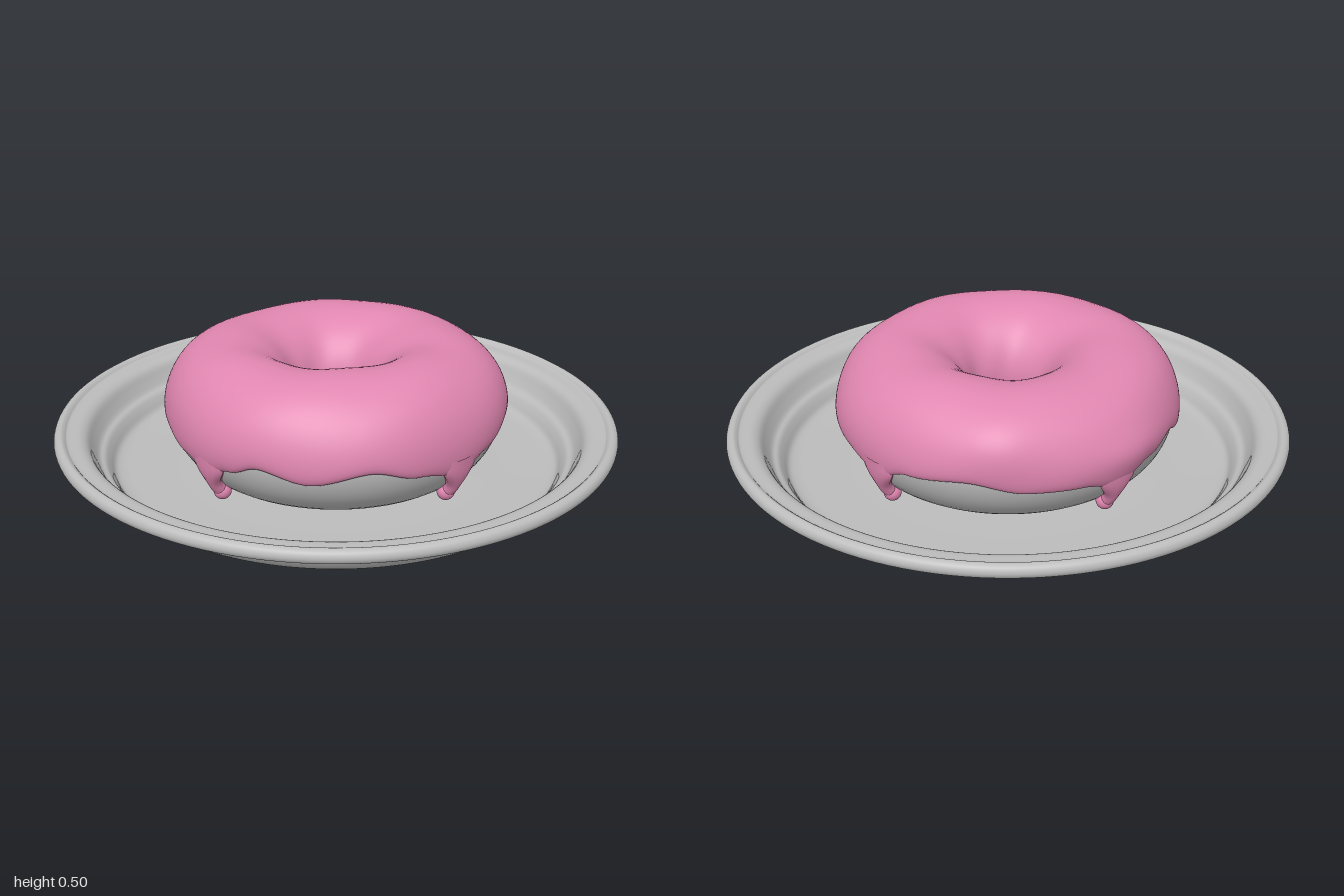
import * as THREE from 'three';

const R = 0.37, A = 0.22, B = 0.22, CY = 0.25; // dough ring radius, section radii, centre height
const RAD = Math.PI / 180;

// Lower icing edge: angle around the ring (0 = front, 90 = left side), height
const EDGE = [[-70, 0.215], [-56, 0.245], [-42, 0.2], [-20, 0.215], [-6, 0.185], [8, 0.165], [18, 0.195],
  [29, 0.235], [46, 0.2], [66, 0.24], [82, 0.2], [99, 0.165], [112, 0.2], [132, 0.24], [156, 0.21],
  [172, 0.2], [190, 0.165], [204, 0.215], [225, 0.235], [245, 0.2], [262, 0.195], [276, 0.165], [290, 0.215]];

function edgeHeight(deg) {
  if (deg > 290) deg -= 360;
  let i = 0;
  while (i < EDGE.length - 2 && deg > EDGE[i + 1][0]) i++;
  const [a0, h0] = EDGE[i], [a1, h1] = EDGE[i + 1];
  return h0 + (h1 - h0) * THREE.MathUtils.smoothstep(deg, a0, a1);
}

// Surface swept around y; section(theta, v) returns [radius, height]
function ringSurface(section, nu, nv) {
  const pos = [], index = [];
  for (let i = 0; i < nu; i++) {
    const t = (i / nu) * Math.PI * 2;
    for (let j = 0; j <= nv; j++) {
      const [r, y] = section(t, j / nv);
      pos.push(r * Math.sin(t), y, r * Math.cos(t));
    }
  }
  for (let i = 0; i < nu; i++) {
    for (let j = 0; j < nv; j++) {
      const a = i * (nv + 1) + j, b = ((i + 1) % nu) * (nv + 1) + j;
      index.push(a, a + 1, b, b, a + 1, b + 1);
    }
  }
  const g = new THREE.BufferGeometry();
  g.setAttribute('position', new THREE.Float32BufferAttribute(pos, 3));
  g.setIndex(index);
  g.computeVertexNormals();
  return g;
}

// Soft bump around one place on the icing
function bump(t, phi, t0, phi0, wt, wp) {
  const d = Math.atan2(Math.sin(t - t0 * RAD), Math.cos(t - t0 * RAD)) / (wt * RAD);
  const e = (phi - phi0 * RAD) / (wp * RAD);
  return Math.exp(-d * d - e * e);
}

function icingSection(t, v) {
  const start = (196 + 5 * Math.sin(3 * t + 1)) * RAD;
  const end = Math.asin((edgeHeight(t / RAD) - CY) / B);
  // samples crowd towards both edges so that the lips are round
  const s = 0.5 - 0.5 * Math.cos(Math.PI * v);
  const phi = start + (end - start) * s;
  const q = Math.abs(2 * s - 1);
  let thick = 0.021 * Math.sqrt(Math.max(0, 1 - q ** 24));
  const body = 1 - q ** 12;
  thick += body * (0.003 * Math.sin(3 * t + 2 * phi) + 0.002 * Math.sin(7 * t - 3 * phi));
  thick += body * (0.014 * bump(t, phi, 282, 8, 14, 14) + 0.014 * bump(t, phi, 235, 30, 12, 25)
    + 0.008 * bump(t, phi, 318, 50, 18, 22));
  const tilt = 0.01 * Math.sin(t + 0.6) * Math.max(0, Math.sin(phi));
  return [R + (A + thick) * Math.cos(phi), CY + (B + thick) * Math.sin(phi) + tilt];
}

export function createModel() {
  const model = new THREE.Group();
  const grey = new THREE.MeshStandardMaterial({ color: 0xbcbcbc });
  grey.name = 'grey';
  const pink = new THREE.MeshStandardMaterial({ color: 0xe086b0 });
  pink.name = 'pink';
  const add = (name, geometry, material, parent = model) => {
    const mesh = new THREE.Mesh(geometry, material);
    mesh.name = name;
    parent.add(mesh);
    return mesh;
  };

  // Plate: underside, rolled rim, stepped inner wall, floor
  const outline = [[0, 0], [0.4, 0], [0.72, 0], [0.775, 0.004], [0.815, 0.03], [0.85, 0.085], [0.88, 0.13],
    [0.9, 0.138], [0.97, 0.138], [0.993, 0.146], [1, 0.163], [0.993, 0.182], [0.975, 0.19], [0.963, 0.184],
    [0.955, 0.177], [0.91, 0.174], [0.885, 0.16], [0.865, 0.125], [0.845, 0.095], [0.825, 0.086],
    [0.808, 0.065], [0.79, 0.038], [0.76, 0.028], [0.7, 0.026], [0.35, 0.026], [0, 0.026]];
  const curve = new THREE.CatmullRomCurve3(outline.map(([x, y]) => new THREE.Vector3(x, y, 0)));
  const profile = curve.getPoints(100).map((p) => new THREE.Vector2(Math.max(0, p.x), Math.max(0, p.y)));
  add('plate', new THREE.LatheGeometry(profile, 128), grey);

  // Dough ring
  add('dough', ringSurface((t, v) => {
    const phi = Math.PI * (1 - 2 * v);
    return [R + A * Math.cos(phi), CY + B * Math.sin(phi)];
  }, 96, 48), grey);

  // Icing with a wavy lower edge
  add('icing', ringSurface(icingSection, 240, 56), pink);

  // Drips hanging from the icing
  [[8, 0.062], [99, 0.066], [190, 0.062], [276, 0.066]].forEach(([deg, tip]) => {
    const drip = new THREE.Group();
    drip.name = 'drip';
    const path = new THREE.CatmullRomCurve3([
      new THREE.Vector3(0, 0.23, 0.588), new THREE.Vector3(0, 0.16, 0.58),
      new THREE.Vector3(0, 0.11, 0.558), new THREE.Vector3(0, tip + 0.01, 0.53)]);
    // stem widens where it leaves the icing
    const stem = new THREE.TubeGeometry(path, 16, 0.024, 14);
    const p = stem.attributes.position;
    for (let i = 0; i < p.count; i++) {
      p.setX(i, p.getX(i) * (1 + 2.2 * THREE.MathUtils.smoothstep(p.getY(i), 0.1, 0.2)));
    }
    stem.computeVertexNormals();
    add('dripStem', stem, pink, drip);
    const bead = add('dripBead', new THREE.SphereGeometry(0.031, 20, 14), pink, drip);
    bead.position.set(0, tip + 0.012, 0.53);
    drip.rotation.y = deg * RAD;
    model.add(drip);
  });

  return model;
}
